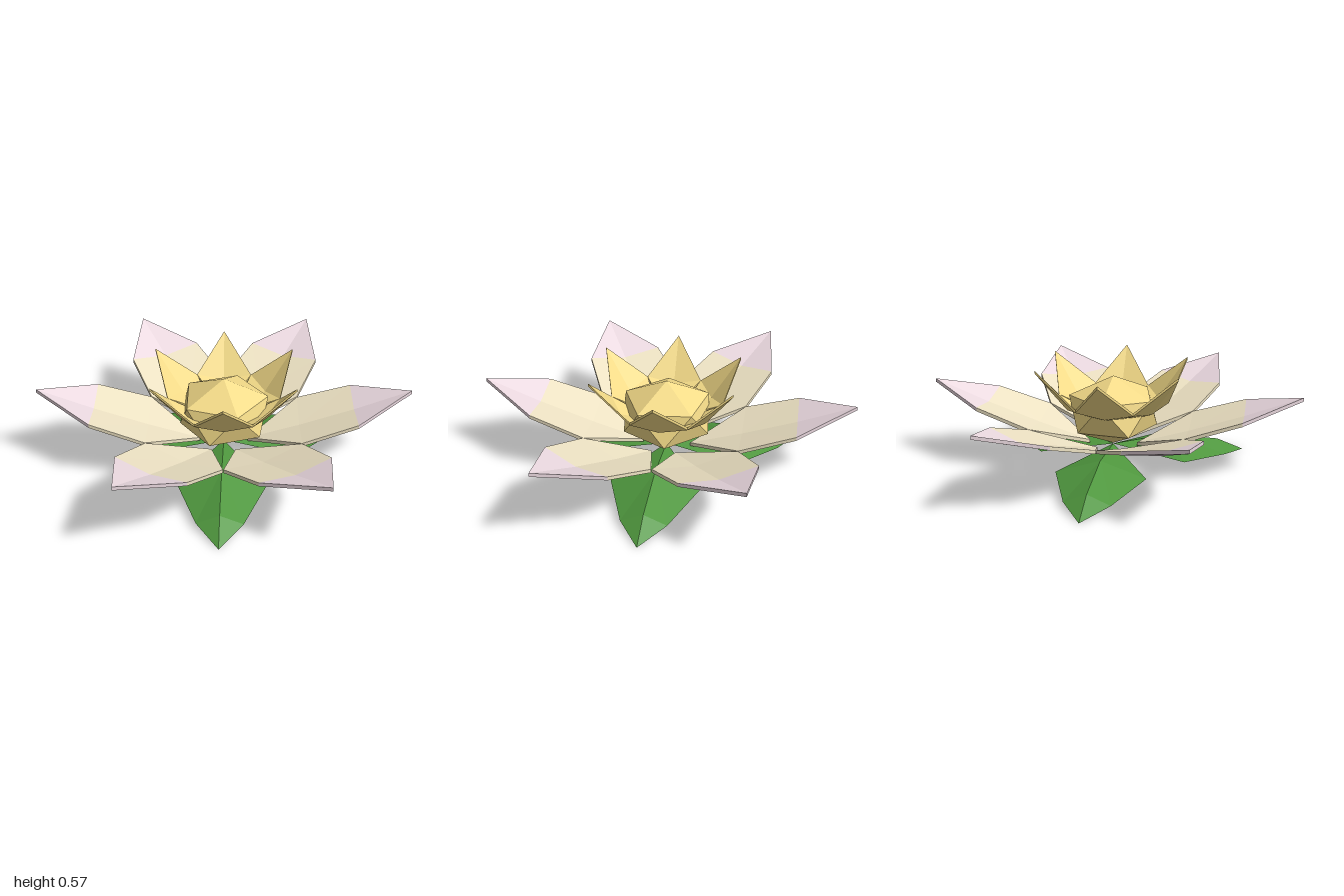
import * as THREE from 'three';

const material = (color) =>
  new THREE.MeshStandardMaterial({ color, flatShading: true, side: THREE.DoubleSide });

// Folded blade along +x. Each row is [distance, half width, spine height, edge height].
// With a thickness it becomes a closed shell with a rim.
function bladeGeometry(rows, thickness = 0) {
  const points = rows.map(([r, w, spine, edge]) => [
    new THREE.Vector3(r, edge, -w), new THREE.Vector3(r, spine, 0), new THREE.Vector3(r, edge, w),
  ]);
  const under = points.map((row) => row.map((p) => p.clone().setY(p.y - thickness)));
  const out = [];
  const tri = (a, b, c) => {
    if (new THREE.Triangle(a, b, c).getArea() > 1e-7) for (const p of [a, b, c]) out.push(p.x, p.y, p.z);
  };
  const skin = (grid, flip) => {
    const put = (a, b, c) => (flip ? tri(a, c, b) : tri(a, b, c));
    for (let i = 0; i < grid.length - 1; i++) {
      const [l0, s0, r0] = grid[i];
      const [l1, s1, r1] = grid[i + 1];
      put(l0, s0, l1); put(s0, s1, l1);
      put(s0, r0, r1); put(s0, r1, s1);
    }
  };
  skin(points, false);
  if (thickness > 0) {
    skin(under, true);
    for (let i = 0; i < points.length - 1; i++) {
      for (const j of [0, 2]) {
        const a = points[i][j], b = points[i + 1][j], c = under[i][j], d = under[i + 1][j];
        if (j === 0) { tri(a, b, c); tri(b, d, c); }
        else { tri(a, c, b); tri(b, c, d); }
      }
    }
  }
  const geometry = new THREE.BufferGeometry();
  geometry.setAttribute('position', new THREE.Float32BufferAttribute(out, 3));
  geometry.computeVertexNormals();
  return geometry;
}

// Repeats a set of [name, geometry, material] parts evenly around the y axis
function ring(name, count, startDegrees, parts) {
  const group = new THREE.Group();
  group.name = name;
  for (let i = 0; i < count; i++) {
    const unit = new THREE.Group();
    unit.name = name + (i + 1);
    unit.rotation.y = -THREE.MathUtils.degToRad(startDegrees + (i * 360) / count);
    for (const [partName, geometry, mat] of parts) {
      const mesh = new THREE.Mesh(geometry, mat);
      mesh.name = partName;
      unit.add(mesh);
    }
    group.add(unit);
  }
  return group;
}

export function createModel() {
  const flower = new THREE.Group();
  flower.name = 'waterLily';

  const cream = material(0xeee3c4);
  const pink = material(0xeddbe2);
  const yellow = material(0xf4db88);
  const green = material(0x4f973e);

  // Outer petals: cream body and pink tip
  const shoulder = [0.7, 0.21, 0.32, 0.35];
  const petalBody = bladeGeometry([[0.13, 0, 0.135, 0.135], [0.41, 0.235, 0.22, 0.255], shoulder], 0.02);
  const petalTip = bladeGeometry([shoulder, [1, 0, 0.437, 0.437]], 0.02);
  flower.add(ring('outerPetal', 6, 0, [['petalBody', petalBody, cream], ['petalTip', petalTip, pink]]));

  // Inner petals, set between the outer ones
  const innerPetal = bladeGeometry(
    [[0.12, 0.05, 0.3, 0.31], [0.26, 0.15, 0.355, 0.385], [0.43, 0, 0.57, 0.57]], 0.015);
  flower.add(ring('innerPetal', 6, 30, [['innerPetalBlade', innerPetal, yellow]]));

  // Leaves with a raised spine, drooping to the ground
  const leaf = bladeGeometry(
    [[0, 0, 0.12, 0.12], [0.32, 0.24, 0.14, 0.06], [0.62, 0.12, 0.08, 0.03], [0.78, 0, 0, 0]]);
  flower.add(ring('leaf', 3, 91.5, [['leafBlade', leaf, green]]));

  // Faceted centre, standing on a corner and flattened
  const core = new THREE.IcosahedronGeometry(1, 0);
  core.rotateZ(-Math.atan(2 / (1 + Math.sqrt(5))));
  core.scale(0.265, 0.19, 0.265);
  core.translate(0, 0.315, 0);
  core.computeVertexNormals();
  const centre = new THREE.Mesh(core, yellow);
  centre.name = 'flowerCentre';
  flower.add(centre);

  return flower;
}
